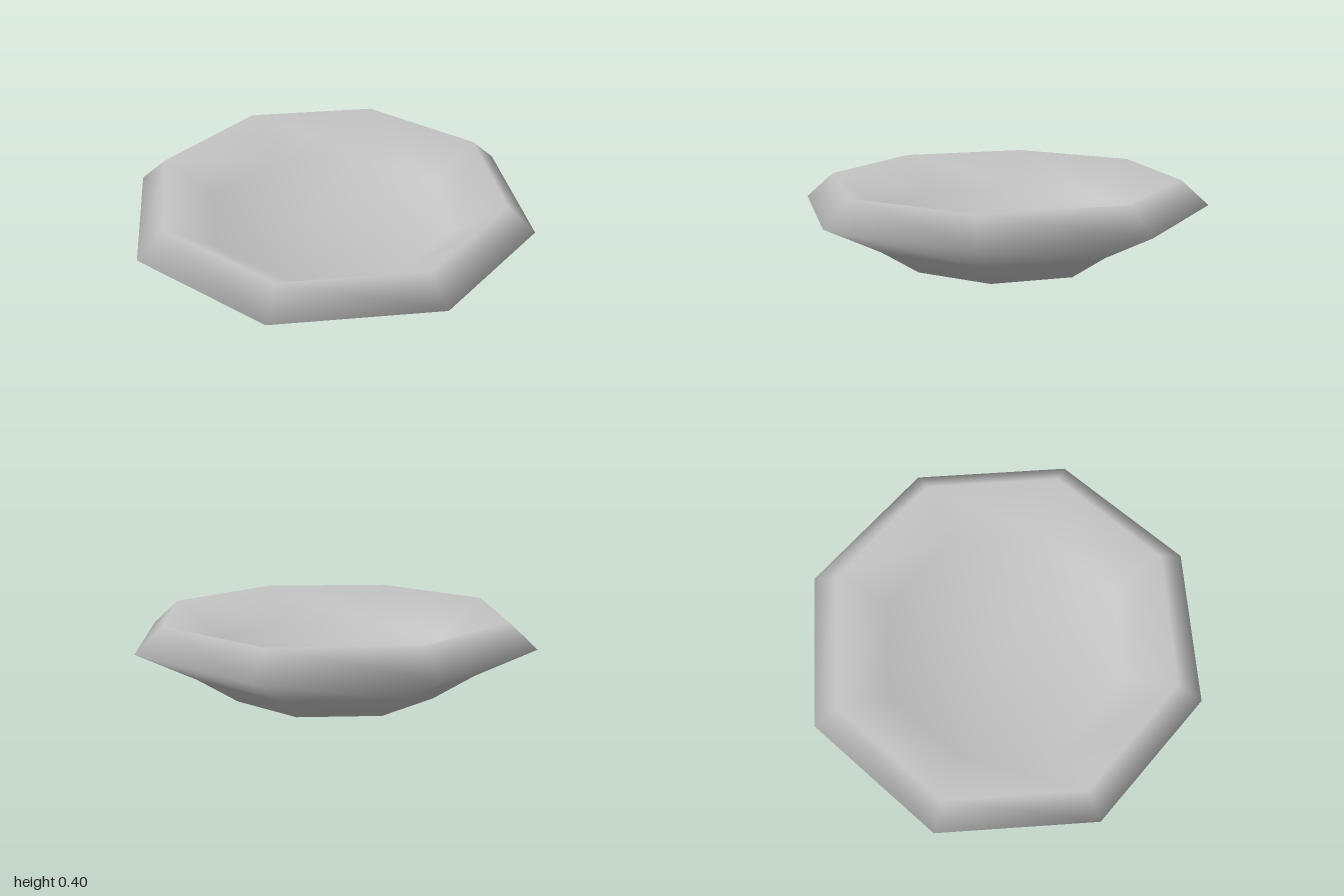
import * as THREE from 'three';

const SIDES = 8;

// Eight-sided lathe whose smooth normals weigh neighbouring bands equally
function smoothLathe(profile) {
  const geometry = new THREE.LatheGeometry(profile, SIDES);
  const bands = profile.slice(1).map((p, i) =>
    new THREE.Vector2(p.y - profile[i].y, profile[i].x - p.x).normalize());
  const normals = profile.map((p, i) => {
    if (p.x === 0) return new THREE.Vector2(0, i === 0 ? -1 : 1);
    return bands[i - 1].clone().add(bands[i]).normalize();
  });
  for (let side = 0; side <= SIDES; side++) {
    const angle = (side / SIDES) * Math.PI * 2;
    normals.forEach((n, j) => geometry.attributes.normal.setXYZ(
      side * profile.length + j, n.x * Math.sin(angle), n.y, n.x * Math.cos(angle)));
  }
  return geometry;
}

export function createModel() {
  const group = new THREE.Group();
  group.name = 'dish';
  const grey = new THREE.MeshStandardMaterial({ color: 0xc4c4c4 });
  grey.name = 'stone grey';

  // Closed profile: underside, outer edge, lip, inner wall, floor
  const profile = [
    [0, 0], [0.51, 0], [0.71, 0.13], [1, 0.28],
    [0.865, 0.4], [0.62, 0.23], [0, 0.23],
  ].map(([r, y]) => new THREE.Vector2(r, y));

  const bowl = new THREE.Mesh(smoothLathe(profile), grey);
  bowl.name = 'bowl';
  group.add(bowl);
  return group;
}
